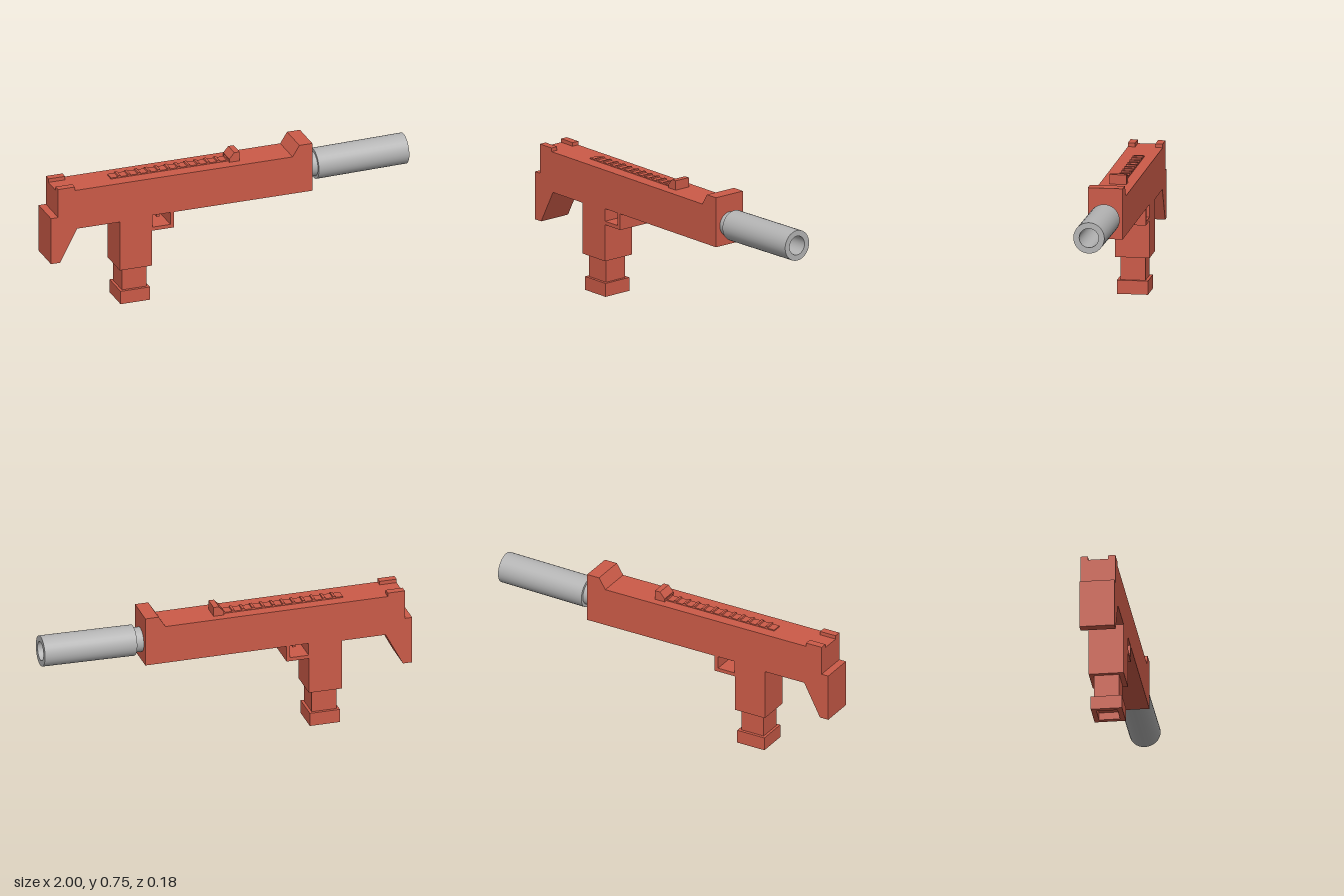
import * as THREE from 'three';

export function createModel() {
  const red = new THREE.MeshStandardMaterial({ color: 0xcc5b48 });
  red.name = 'red';
  const grey = new THREE.MeshStandardMaterial({ color: 0xb4b4b4 });
  grey.name = 'grey';

  const model = new THREE.Group();
  model.name = 'toyBlaster';

  function add(name, geometry, material, x = 0, y = 0, z = 0, parent = model) {
    const mesh = new THREE.Mesh(geometry, material);
    mesh.name = name;
    mesh.position.set(x, y, z);
    parent.add(mesh);
    return mesh;
  }
  // box given by its ranges in x, y and z
  function block(name, [x0, x1], [y0, y1], [z0, z1]) {
    return add(name, new THREE.BoxGeometry(x1 - x0, y1 - y0, z1 - z0), red,
      (x0 + x1) / 2, (y0 + y1) / 2, (z0 + z1) / 2);
  }
  const toPoints = (list) => list.map(([x, y]) => new THREE.Vector2(x, y));
  // side outline extruded from z0 to z1
  function slab(name, outline, z0, z1, hole) {
    const shape = new THREE.Shape(toPoints(outline));
    if (hole) shape.holes.push(new THREE.Path(toPoints(hole)));
    const geometry = new THREE.ExtrudeGeometry(shape, { depth: z1 - z0, bevelEnabled: false });
    return add(name, geometry, red, 0, 0, z0);
  }

  // Body with stock, grip, trigger guard and front sight
  slab('body', [
    [-1, 0.295], [-0.95, 0.295], [-0.855, 0.475], [-0.617, 0.475],
    [-0.617, 0.198], [-0.437, 0.198], [-0.437, 0.397], [-0.315, 0.397],
    [-0.315, 0.485], [0.455, 0.485], [0.455, 0.755], [0.383, 0.755],
    [0.345, 0.695], [-0.96, 0.695], [-0.96, 0.555], [-1, 0.555],
  ], -0.092, 0.092, [[-0.435, 0.417], [-0.435, 0.485], [-0.335, 0.485], [-0.335, 0.417]]);

  // Trigger
  block('trigger', [-0.385, -0.37], [0.438, 0.49], [-0.02, 0.02]);

  // Rear sights, one on each edge
  for (const side of [-1, 1]) {
    const z = [0.053 * side, 0.092 * side].sort((a, b) => a - b);
    block(side > 0 ? 'leftRearSight' : 'rightRearSight', [-0.96, -0.867], [0.69, 0.715], z);
  }

  // Serrated top rail
  const teeth = 12, start = -0.64, end = 0.02, step = (end - start) / teeth;
  const rail = [[end, 0.69], [start, 0.69]];
  for (let i = 0; i < teeth; i++) {
    const x = start + i * step;
    rail.push([x, 0.701], [x + step * 0.7, 0.701], [x + step * 0.75, 0.708], [x + step * 0.98, 0.708]);
  }
  rail.push([end, 0.701]);
  slab('serratedRail', rail.reverse(), -0.033, 0.022);

  // Cocking knob at the end of the rail
  slab('cockingKnob', [[0.012, 0.69], [0.07, 0.69], [0.07, 0.746], [0.04, 0.746], [0.012, 0.713]],
    -0.05, 0.04);

  // Magazine and its hollow foot
  block('magazine', [-0.595, -0.46], [0.04, 0.2], [-0.066, 0.066]);
  const foot = new THREE.Shape(toPoints([[-0.082, -0.082], [0.082, -0.082], [0.082, 0.082], [-0.082, 0.082]]));
  foot.holes.push(new THREE.Path(toPoints([[-0.055, -0.055], [-0.055, 0.055], [0.055, 0.055], [0.055, -0.055]])));
  const footGeometry = new THREE.ExtrudeGeometry(foot, { depth: 0.073, bevelEnabled: false });
  footGeometry.rotateX(-Math.PI / 2);
  add('magazineFoot', footGeometry, red, -0.527, 0, 0);

  // Barrel neck and hollow muzzle tube, tilted up slightly
  const barrel = new THREE.Group();
  barrel.name = 'barrel';
  barrel.position.set(0.455, 0.595, 0);
  barrel.rotation.z = 0.017;
  model.add(barrel);
  const neck = new THREE.CylinderGeometry(0.066, 0.066, 0.08, 32);
  neck.rotateZ(-Math.PI / 2);
  add('barrelNeck', neck, grey, 0.02, 0, 0, barrel);

  // separate lathe sections keep the rims sharp
  const sections = {
    muzzleBack: [[0, 0.041], [0.082, 0.041]],
    muzzleOuter: [[0.082, 0.041], [0.082, 0.544]],
    muzzleRim: [[0.082, 0.544], [0.051, 0.544]],
    muzzleBore: [[0.051, 0.544], [0.051, 0.1]],
    boreEnd: [[0.051, 0.1], [0, 0.1]],
  };
  for (const [name, profile] of Object.entries(sections)) {
    const geometry = new THREE.LatheGeometry(toPoints(profile), 32);
    geometry.rotateZ(-Math.PI / 2);
    add(name, geometry, grey, 0, 0, 0, barrel);
  }

  return model;
}
